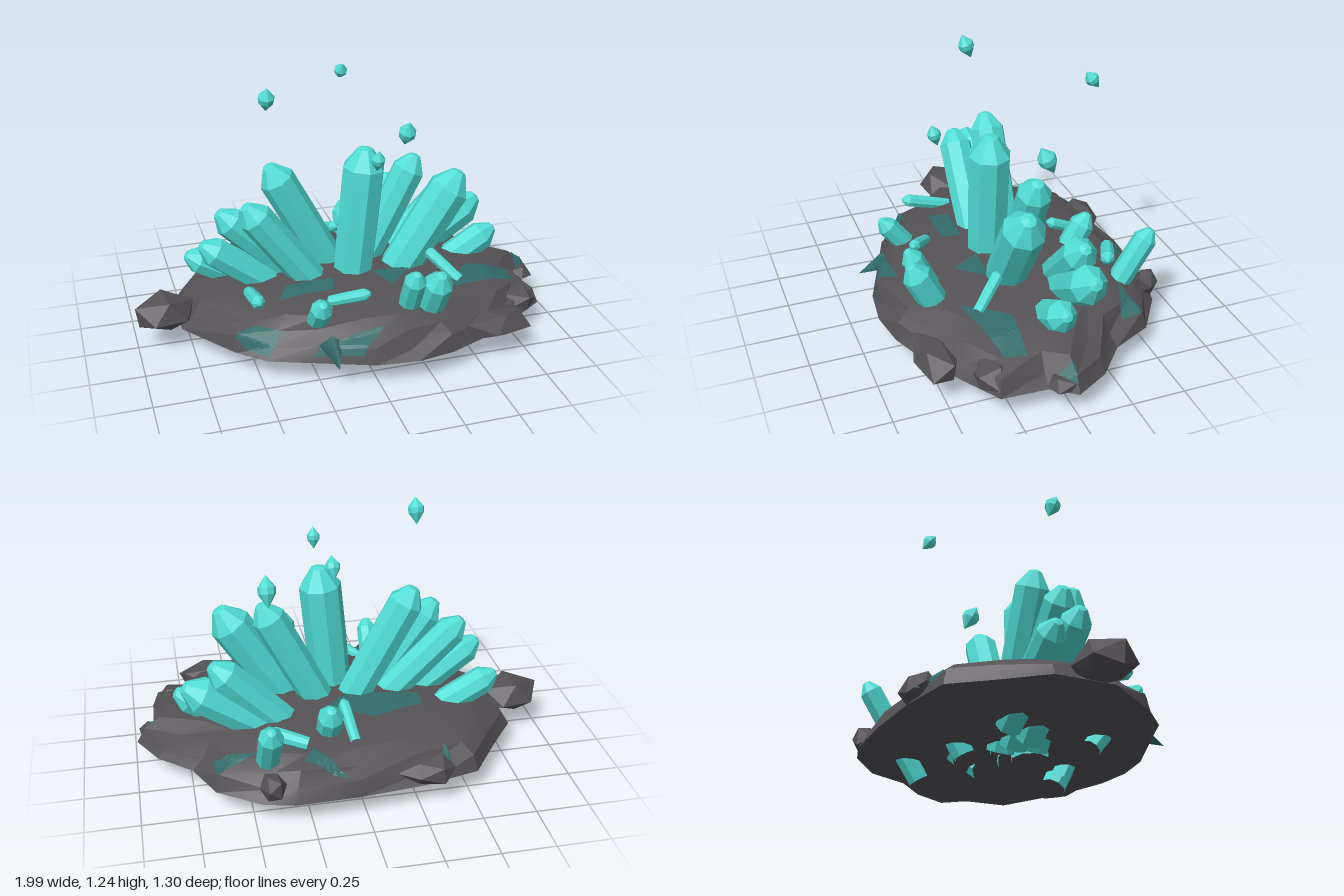
import * as THREE from 'three';
import { toCreasedNormals } from 'three/addons/utils/BufferGeometryUtils.js';

const mat = (name, color, side = THREE.FrontSide) => {
  const m = new THREE.MeshStandardMaterial({ color, side });
  m.name = name;
  return m;
};

// Mound outline (x, z), clockwise seen from above
const OUTLINE = [
  [-0.53, -0.55], [-0.27, -0.61], [0.03, -0.64], [0.33, -0.645], [0.47, -0.61], [0.66, -0.48],
  [0.75, -0.29], [0.9, -0.16], [0.99, 0], [0.91, 0.11], [0.9, 0.32], [0.73, 0.43], [0.57, 0.53],
  [0.35, 0.62], [0.17, 0.65], [-0.02, 0.63], [-0.29, 0.53], [-0.48, 0.46], [-0.6, 0.35],
  [-0.8, 0.08], [-0.8, -0.19], [-0.66, -0.37],
];
// Mound profile: fraction of the outline, height, unevenness
const RINGS = [
  [0, 0.335, 0], [0.2, 0.33, 0], [0.5, 0.31, 0], [0.75, 0.278, 0.004],
  [0.87, 0.238, 0.016], [0.95, 0.185, 0.02], [1, 0.123, 0],
];

function fromTriangles(points) {
  const g = new THREE.BufferGeometry();
  g.setAttribute('position', new THREE.Float32BufferAttribute(points.flat(), 3));
  g.computeVertexNormals();
  return g;
}

function moundGeometry() {
  const tri = [], n = OUTLINE.length, last = RINGS.length - 1;
  const at = (i, k) => {
    const [x, z] = OUTLINE[i % n], [s, y, rough] = RINGS[k];
    const wave = rough * Math.sin((i % n) * 2.4 + k * 1.7);
    return [x * (s + wave), y + wave, z * (s + wave)];
  };
  for (let i = 0; i < n; i++) {
    tri.push(at(0, 0), at(i + 1, 1), at(i, 1));
    for (let k = 1; k < last; k++) {
      tri.push(at(i, k), at(i + 1, k + 1), at(i, k + 1));
      tri.push(at(i, k), at(i + 1, k), at(i + 1, k + 1));
    }
    tri.push([0, 0.12, 0], at(i, last), at(i + 1, last)); // underside
  }
  return toCreasedNormals(fromTriangles(tri), 0.4);
}

// Flat coloured patch draped over the mound
function patchGeometry(corners, mound) {
  const tri = [], n = 10;
  const ray = new THREE.Raycaster();
  const down = new THREE.Vector3(0, -1, 0);
  const drape = (x, z) => {
    ray.set(new THREE.Vector3(x, 2, z), down);
    const hit = ray.intersectObject(mound)[0];
    return [x, (hit ? hit.point.y : 0.123) + 0.006, z];
  };
  for (let c = 1; c < corners.length - 1; c++) {
    const [a, b, d] = [corners[0], corners[c], corners[c + 1]];
    const at = (i, j) => drape(
      a[0] + ((b[0] - a[0]) * i + (d[0] - a[0]) * j) / n,
      a[1] + ((b[1] - a[1]) * i + (d[1] - a[1]) * j) / n);
    for (let i = 0; i < n; i++) for (let j = 0; j < n - i; j++) {
      tri.push(at(i, j), at(i, j + 1), at(i + 1, j));
      if (i + j < n - 1) tri.push(at(i + 1, j), at(i, j + 1), at(i + 1, j + 1));
    }
  }
  return fromTriangles(tri);
}

// Uneven boulder with a flat foot
function rockGeometry([cx, cy, cz], [rx, ry, rz]) {
  const g = new THREE.IcosahedronGeometry(1, 0);
  g.rotateY(cx * 9);
  const p = g.attributes.position;
  for (let i = 0; i < p.count; i++) {
    const x = p.getX(i), y = p.getY(i), z = p.getZ(i);
    const k = 1 + 0.14 * Math.sin(7 * x + 11 * y + 5 * z + cx * 20);
    p.setXYZ(i, cx + x * k * rx, Math.max(0.126, cy + y * k * ry), cz + z * k * rz);
  }
  g.computeVertexNormals();
  return g;
}

const lathe = (profile) => toCreasedNormals(
  new THREE.LatheGeometry(profile.map(([x, y]) => new THREE.Vector2(x, y)), 8), 0.4);

// Eight-sided crystal from base to tip, open at the foot
function crystalMesh(name, base, tip, r, material) {
  const from = new THREE.Vector3(...base), dir = new THREE.Vector3(...tip).sub(from);
  const L = dir.length();
  const mesh = new THREE.Mesh(lathe([[0.9 * r, 0], [r, 0.55 * L], [r, L - r], [0.36 * r, L - 0.1 * r], [0, L]]), material);
  mesh.name = name;
  mesh.position.copy(from);
  mesh.quaternion.setFromUnitVectors(new THREE.Vector3(0, 1, 0), dir.normalize());
  return mesh;
}

export function createModel() {
  const model = new THREE.Group();
  model.name = 'crystalCluster';
  const stone = mat('darkStone', 0x555256);
  const teal = mat('turquoiseCrystal', 0x50dcd4);
  const dim = mat('dullTealVein', 0x326c6b, THREE.DoubleSide);
  const add = (name, geometry, material) => {
    const m = new THREE.Mesh(geometry, material);
    m.name = name;
    model.add(m);
    return m;
  };

  const mound = add('mound', moundGeometry(), stone);

  // Boulders around the rim: centre, radii
  [
    [[-0.86, 0.17, 0], [0.15, 0.095, 0.13]],
    [[0.58, 0.155, 0.51], [0.17, 0.085, 0.1]],
    [[0.76, 0.15, 0.32], [0.13, 0.08, 0.09]],
    [[0.92, 0.14, 0.04], [0.06, 0.05, 0.08]],
    [[-0.29, 0.18, -0.58], [0.13, 0.07, 0.08]],
    [[0.42, 0.2, -0.59], [0.055, 0.07, 0.06]],
  ].forEach(([c, r]) => add('rock', rockGeometry(c, r), stone));

  // Dull veins on the mound
  [
    [[-0.35, -0.22], [-0.1, -0.3], [0.1, -0.19], [0, -0.1], [-0.35, -0.13]],
    [[0.07, -0.61], [0.27, -0.53], [0.22, -0.46]],
    [[0.47, -0.42], [0.65, -0.46], [0.66, -0.35]],
    [[-0.37, 0.24], [-0.31, 0.15], [-0.09, 0.16], [-0.11, 0.25]],
    [[0.1, 0.15], [0.3, 0.15], [0.17, 0.28]],
    [[0.43, 0.34], [0.58, 0.15], [0.8, 0.16], [0.78, 0.26]],
    [[-0.6, 0.33], [-0.5, 0.33], [-0.4, 0.41], [-0.47, 0.455]],
    [[-0.29, 0.52], [0.05, 0.52], [-0.07, 0.6]],
    [[0.9, -0.01], [0.97, 0], [0.9, 0.09]],
  ].forEach((corners) => add('vein', patchGeometry(corners, mound), dim));

  // Small shards at the rim: position, tilt
  [
    [[-0.2, 0.17, 0.58], 1.9],
    [[-0.38, 0.18, -0.55], -1.9],
  ].forEach(([pos, tilt]) => {
    const shard = add('rimShard', new THREE.ConeGeometry(0.055, 0.15, 4), dim);
    shard.position.set(...pos);
    shard.rotation.x = tilt;
  });

  // Fan of large crystals: base, tip, radius
  [
    [[0.012, 0.06, 0.07], [0.095, 0.935, 0.07], 0.1],
    [[0.055, 0.1, -0.05], [-0.34, 0.845, -0.055], 0.085],
    [[-0.035, 0.1, 0.065], [-0.48, 0.71, 0.065], 0.08],
    [[-0.04, 0.1, -0.035], [-0.59, 0.645, -0.035], 0.075],
    [[-0.14, 0.1, 0], [-0.68, 0.51, 0], 0.072],
    [[-0.23, 0.11, -0.14], [-0.735, 0.395, -0.14], 0.068],
    [[0.025, 0.1, -0.045], [0.385, 0.82, -0.045], 0.08],
    [[0.155, 0.11, 0.065], [0.57, 0.76, 0.07], 0.1],
    [[0.15, 0.1, -0.17], [0.635, 0.6, -0.17], 0.08],
    [[0.18, 0.11, -0.165], [0.765, 0.5, -0.165], 0.09],
    [[0.33, 0.1, -0.02], [0.8, 0.39, -0.02], 0.072],
  ].forEach(([b, t, r]) => model.add(crystalMesh('fanCrystal', b, t, r, teal)));

  // Outer crystals and thin rods
  [
    [[0.2, 0.06, 0.31], [0.2, 0.485, 0.51], 0.052],
    [[0.29, 0.05, 0.32], [0.31, 0.475, 0.53], 0.067],
    [[-0.23, 0.07, 0.26], [-0.235, 0.405, 0.52], 0.05],
    [[0.42, 0.035, -0.32], [0.42, 0.49, -0.605], 0.056],
    [[0.12, 0.08, -0.21], [0.125, 0.45, -0.42], 0.06],
    [[-0.15, 0.3, 0.32], [0.01, 0.375, 0.43], 0.028],
    [[0.5, 0.29, 0.28], [0.38, 0.4, 0.13], 0.028],
    [[-0.48, 0.28, 0.1], [-0.48, 0.35, 0.34], 0.032],
    [[0.24, 0.32, -0.47], [0.415, 0.355, -0.39], 0.034],
    [[0.02, 0.29, -0.45], [0.04, 0.39, -0.24], 0.027],
  ].forEach(([b, t, r]) => model.add(crystalMesh('smallCrystal', b, t, r, teal)));

  // Floating gems: position, half height, radius, tilt
  [
    [[-0.355, 1.19, 0.025], 0.064, 0.038, 0.35],
    [[0.117, 1.143, -0.415], 0.054, 0.032, 0.65],
    [[0.07, 0.967, 0.325], 0.054, 0.031, 0.25],
    [[0.357, 0.905, -0.1], 0.076, 0.043, 0.45],
  ].forEach(([pos, h, r, tilt]) => {
    const gem = add('floatingGem', lathe([[0, -h], [0.95 * r, -0.15 * h], [r, 0.25 * h], [0, h]]), teal);
    gem.position.set(...pos);
    gem.rotation.x = tilt;
  });

  return model;
}
